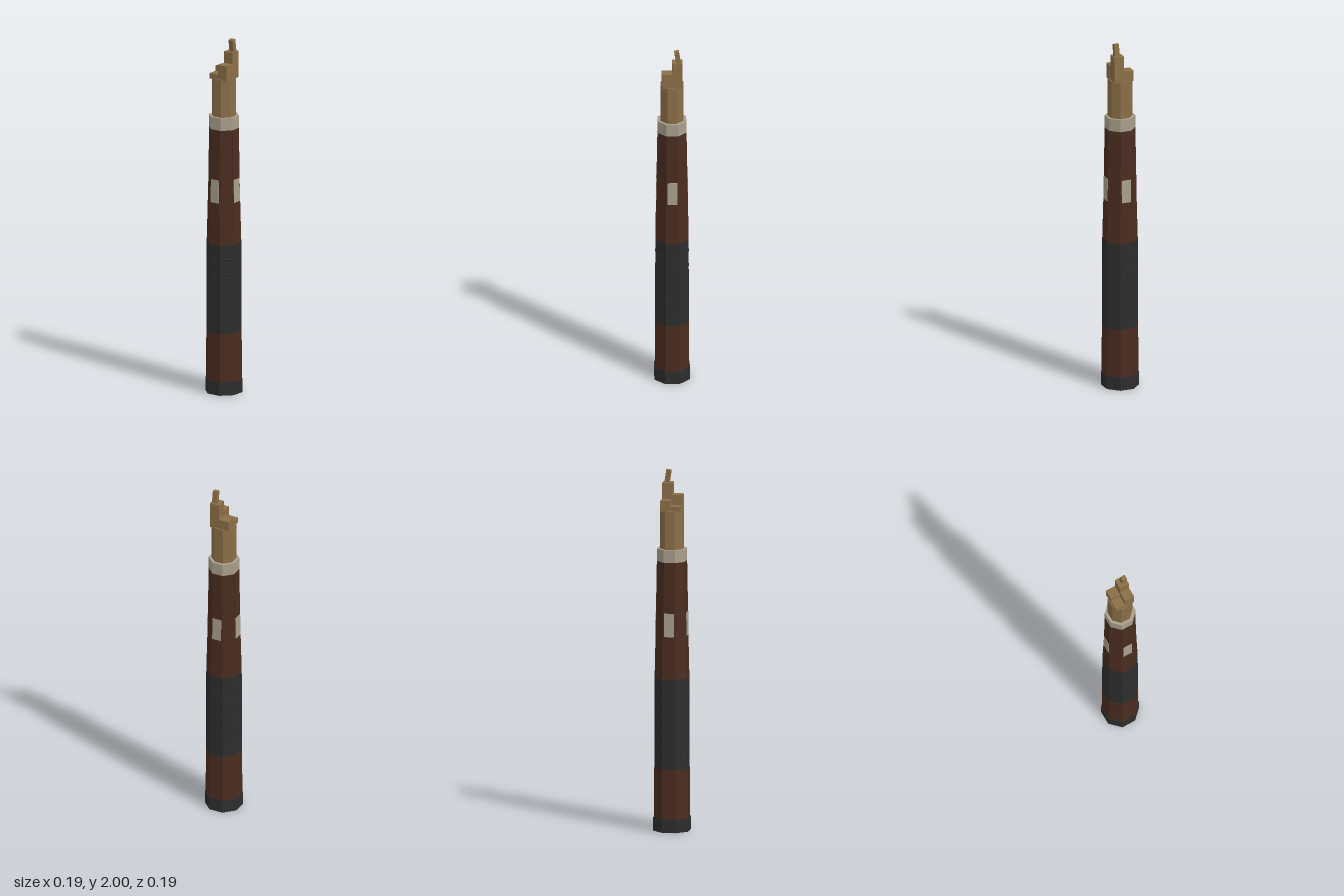
import * as THREE from 'three';

const mat = (name, color) => {
  const m = new THREE.MeshStandardMaterial({ color, flatShading: true });
  m.name = name;
  return m;
};

export function createModel() {
  const darkWood = mat('dark wood', 0x4a2c20);
  const grip = mat('black grip', 0x2d2d2d);
  const metal = mat('dull metal', 0xa89f8c);
  const rawWood = mat('raw wood', 0x8b6f47);

  const root = new THREE.Group();
  root.name = 'brokenHandle';

  const add = (name, geometry, material, parent = root) => {
    const mesh = new THREE.Mesh(geometry, material);
    mesh.name = name;
    parent.add(mesh);
    return mesh;
  };

  // Octagonal section with flats on the axes, sized by half its width across flats
  const octagon = (name, y0, y1, a0, a1, material) => {
    const k = 1 / Math.cos(Math.PI / 8);
    const g = new THREE.CylinderGeometry(a1 * k, a0 * k, y1 - y0, 8);
    g.rotateY(Math.PI / 8);
    g.translate(0, (y0 + y1) / 2, 0);
    return add(name, g, material);
  };

  octagon('endCap', 0, 0.075, 0.097, 0.097, grip);
  octagon('lowerShaft', 0.075, 0.35, 0.093, 0.092, darkWood);
  octagon('gripWrap', 0.35, 0.85, 0.0915, 0.09, grip);
  octagon('upperShaft', 0.85, 1.5, 0.09, 0.074, darkWood);
  octagon('collar', 1.5, 1.57, 0.078, 0.078, metal);
  octagon('brokenCore', 1.57, 1.785, 0.063, 0.063, rawWood);

  // Round cords that just break through the flats of the grip
  for (let i = 0; i < 5; i++) {
    const cord = add('gripCord', new THREE.TorusGeometry(0.088, 0.006, 6, 24), grip);
    cord.rotation.x = Math.PI / 2;
    cord.position.y = 0.425 + i * 0.086;
  }

  // Raised strip and metal inlay on each of the four main sides
  for (let i = 0; i < 4; i++) {
    const side = new THREE.Group();
    side.name = 'shaftSide';
    side.rotation.y = i * Math.PI / 2;
    root.add(side);
    const strip = add('raisedStrip', new THREE.BoxGeometry(0.06, 0.63, 0.008), darkWood, side);
    strip.position.set(0, 1.185, 0.0805);
    strip.rotation.x = -0.018;
    const inlay = add('metalInlay', new THREE.BoxGeometry(0.054, 0.13, 0.006), metal, side);
    inlay.position.set(0, 1.153, 0.084);
    inlay.rotation.x = -0.018;
  }

  // Stepped splinters at the break: x sign, z sign, top height
  for (const [sx, sz, top] of [[1, 1, 1.93], [-1, 1, 1.865], [1, -1, 1.84], [-1, -1, 1.81]]) {
    const h = top - 1.78;
    const block = add('splinterBlock', new THREE.BoxGeometry(0.057, h, 0.057), rawWood);
    block.position.set(sx * 0.0285, 1.78 + h / 2, sz * 0.0285);
  }

  // Leaning splinter at the tip
  const tip = add('splinterTip', new THREE.BoxGeometry(0.026, 0.1, 0.028), rawWood);
  tip.position.set(0.031, 1.9485, 0.036);
  tip.rotation.z = 0.15;

  return root;
}
